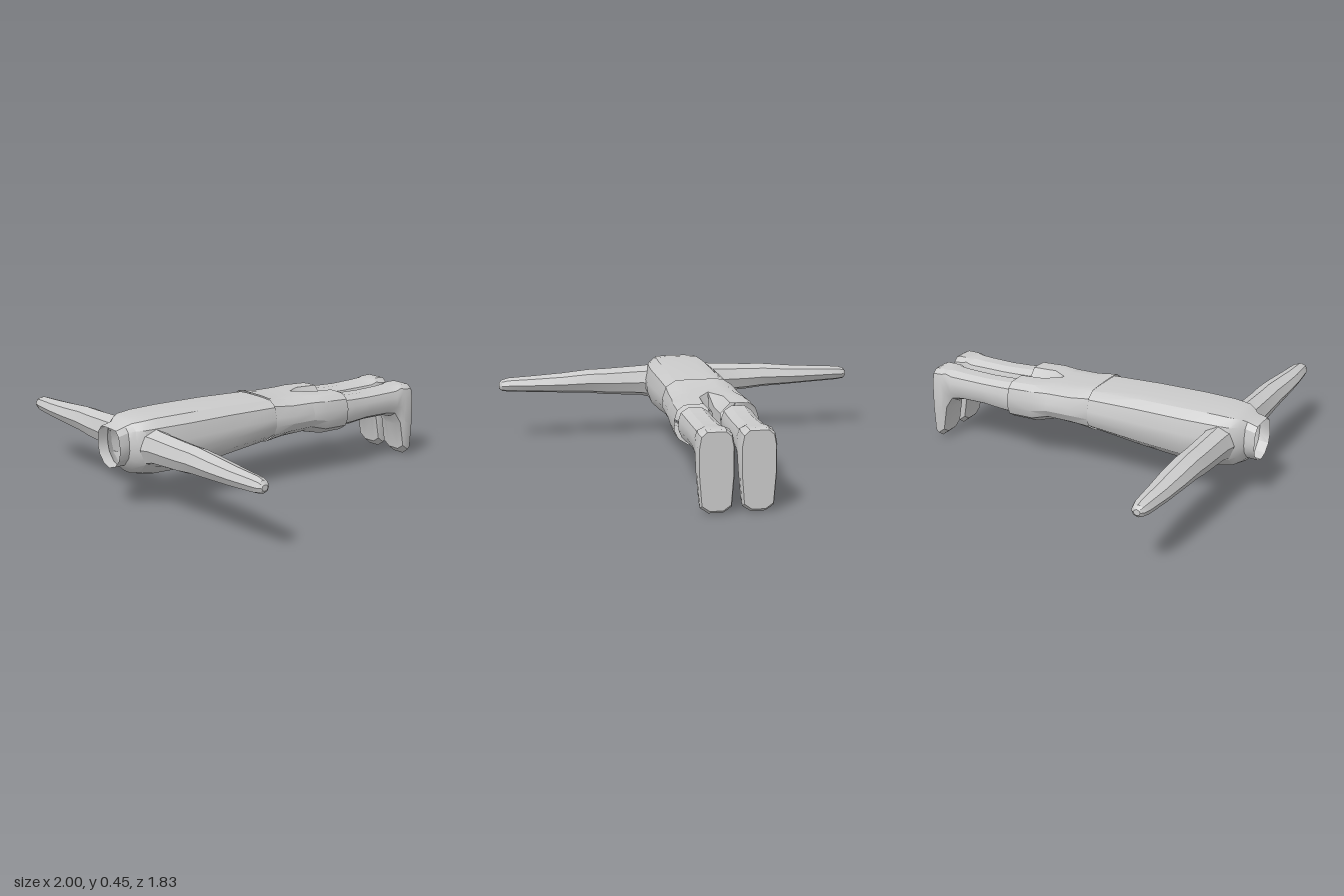
import * as THREE from 'three';
import { toCreasedNormals } from 'three/addons/utils/BufferGeometryUtils.js';

const material = new THREE.MeshStandardMaterial({ color: 0xcccccc, side: THREE.DoubleSide });

// Cross-section outlines, clockwise from the top, in units of half width and half height
const HALF = [[0, 1], [0.35, 1], [0.65, 0.97], [0.9, 0.72], [1, 0.25], [1, -0.1], [0.88, -0.48], [0.5, -0.85], [0, -1]];
const BODY = [...HALF, ...HALF.slice(1, -1).reverse().map(([x, y]) => [-x, y])];
// Trouser leg: splits from half of the body outline and turns into a rounded tube
const SPLIT = [...HALF.map(([x, y]) => [2 * x - 1, y]), [-1, -0.4], [-1, 0.4]];
const CUFF = [[-0.5, 1], [0, 1], [0.5, 0.97], [0.85, 0.72], [1, 0.25], [1, -0.25], [0.8, -0.7], [0.3, -1], [-0.5, -0.95], [-1, -0.45], [-1, 0.5]];
const SHIN = [[-0.4, 1], [0.4, 1], [0.85, 0.72], [1, 0.3], [1, -0.3], [0.8, -0.75], [0.35, -1], [-0.35, -1], [-0.8, -0.75], [-1, -0.3], [-1, 0.3], [-0.85, 0.72]];
const FOOT = [[-0.55, 1], [0.55, 1], [0.88, 0.88], [1, 0.6], [1, -0.1], [0.86, -0.86], [0.4, -1], [-0.4, -1], [-0.86, -0.86], [-1, -0.1], [-1, 0.6], [-0.88, 0.88]];
const ARM = Array.from({ length: 8 }, (_, i) => [Math.sin(i * Math.PI / 4), Math.cos(i * Math.PI / 4)]);

// Ring across z, from side limits and bottom/top heights
function ringZ(outline, z, x0, x1, y0, y1) {
  return outline.map(([u, v]) => [(x0 + x1) / 2 + u * (x1 - x0) / 2, (y0 + y1) / 2 + v * (y1 - y0) / 2, z]);
}

// Ring across x, for the arms
function ringX(outline, x, z0, z1, y0, y1) {
  return outline.map(([u, v]) => [x, (y0 + y1) / 2 + v * (y1 - y0) / 2, (z0 + z1) / 2 + u * (z1 - z0) / 2]);
}

// Skin a list of rings, closing the last one if asked
function loft(name, rings, capEnd = false, crease = 0.5) {
  const n = rings[0].length;
  const position = rings.flat(2);
  const index = [];
  for (let i = 0; i < rings.length - 1; i++) {
    for (let j = 0; j < n; j++) {
      const a = i * n + j, b = i * n + (j + 1) % n;
      index.push(a, b, a + n, b, b + n, a + n);
    }
  }
  if (capEnd) {
    const last = (rings.length - 1) * n;
    for (let j = 1; j < n - 1; j++) index.push(last, last + j, last + j + 1);
  }
  const geometry = new THREE.BufferGeometry();
  geometry.setAttribute('position', new THREE.Float32BufferAttribute(position, 3));
  geometry.setIndex(index);
  const mesh = new THREE.Mesh(toCreasedNormals(geometry, crease), material);
  mesh.name = name;
  return mesh;
}

export function createModel() {
  const model = new THREE.Group();
  model.name = 'body';

  // Torso with an open neck: z, half width, bottom, top
  model.add(loft('torso', [
    [0.915, 0.1, 0.2, 0.4],
    [0.86, 0.1, 0.2, 0.415],
    [0.835, 0.13, 0.175, 0.43],
    [0.8, 0.165, 0.155, 0.438],
    [0.72, 0.18, 0.137, 0.445],
    [0.56, 0.19, 0.135, 0.447],
    [0.3, 0.19, 0.16, 0.445],
    [0.03, 0.188, 0.197, 0.435],
  ].map(([z, w, y0, y1]) => ringZ(BODY, z, -w, w, y0, y1))));

  // Hips of the trousers
  model.add(loft('hips', [
    [0.04, 0.194, 0.19, 0.445],
    [-0.07, 0.2, 0.207, 0.428],
    [-0.2, 0.206, 0.212, 0.425],
  ].map(([z, w, y0, y1]) => ringZ(BODY, z, -w, w, y0, y1))));

  for (const side of [1, -1]) {
    const half = new THREE.Group();
    half.name = side > 0 ? 'leftLimbs' : 'rightLimbs';
    half.scale.x = side;

    // Trouser leg, open at the cuff
    half.add(loft('trouserLeg', [
      ringZ(SPLIT, -0.2, 0, 0.206, 0.212, 0.425),
      ringZ(CUFF, -0.29, 0.012, 0.209, 0.212, 0.42),
      ringZ(CUFF, -0.425, 0.018, 0.21, 0.212, 0.413),
    ]));

    // Boot: the shaft runs back, then the foot points down to the toe
    half.add(loft('boot', [
      ringZ(SHIN, -0.41, 0.026, 0.188, 0.225, 0.396),
      ringZ(SHIN, -0.5, 0.024, 0.184, 0.228, 0.39),
      ringZ(SHIN, -0.6, 0.022, 0.182, 0.238, 0.386),
      ringZ(SHIN, -0.74, 0.018, 0.184, 0.237, 0.389),
      ringZ(SHIN, -0.8, 0.014, 0.186, 0.225, 0.393),
      ringZ(FOOT, -0.835, 0.012, 0.187, 0.175, 0.395),
      ringZ(FOOT, -0.858, 0.012, 0.188, 0.03, 0.396),
      ringZ(FOOT, -0.895, 0.012, 0.188, 0.0, 0.396),
      ringZ(FOOT, -0.915, 0.02, 0.18, 0.014, 0.388),
    ], true));

    // Arm, tapering to a rounded end: x, z limits, y limits
    half.add(loft('arm', [
      [0.145, 0.66, 0.83, 0.21, 0.4],
      [0.2, 0.668, 0.822, 0.225, 0.395],
      [0.4, 0.668, 0.815, 0.238, 0.386],
      [0.5, 0.666, 0.813, 0.25, 0.384],
      [0.65, 0.666, 0.808, 0.258, 0.37],
      [0.8, 0.68, 0.8, 0.266, 0.36],
      [0.95, 0.694, 0.784, 0.274, 0.352],
      [0.985, 0.704, 0.772, 0.28, 0.342],
      [1, 0.722, 0.756, 0.295, 0.325],
    ].map(([x, z0, z1, y0, y1]) => ringX(ARM, x, z0, z1, y0, y1)), true));

    model.add(half);
  }
  return model;
}
